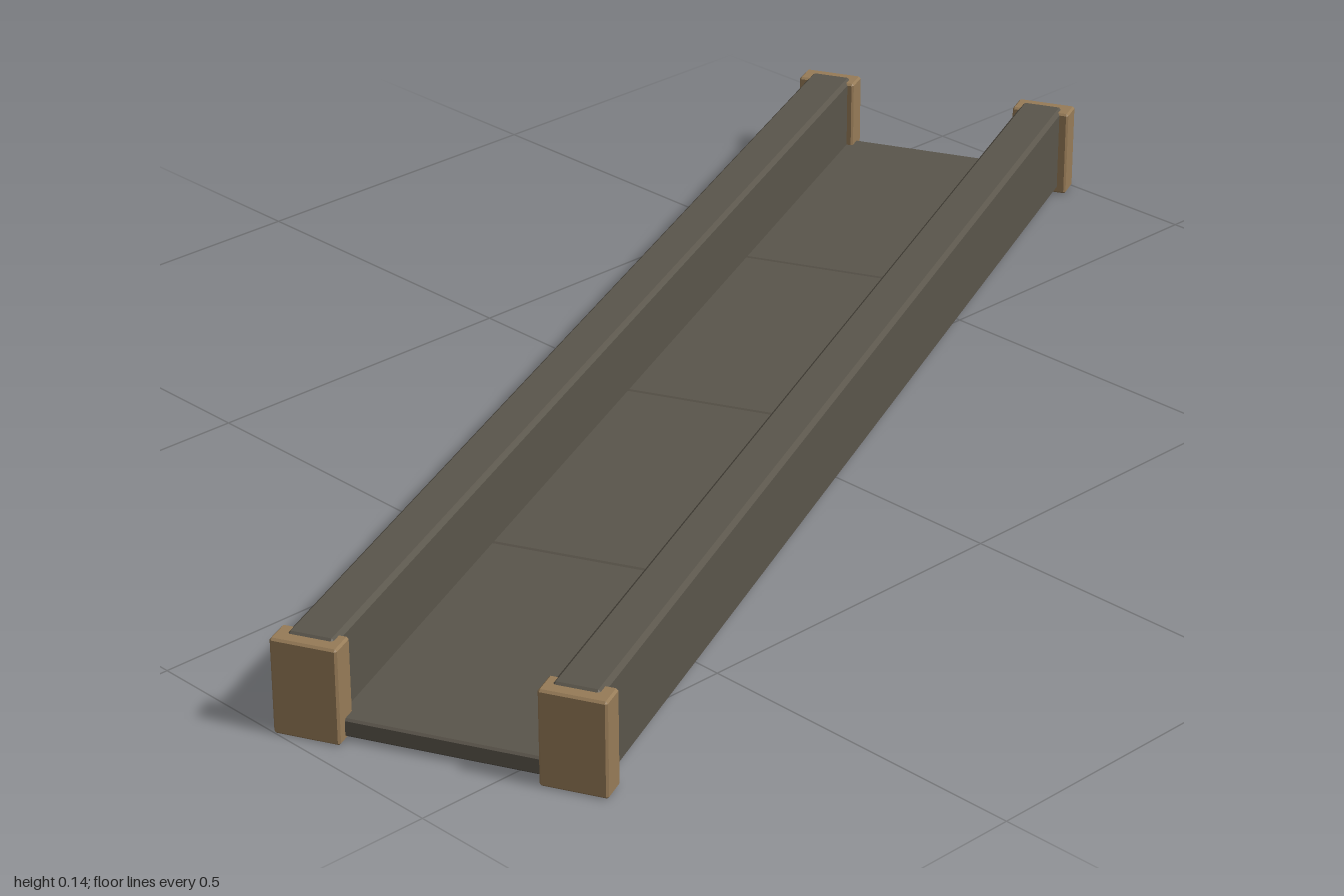
import * as THREE from 'three';
import { ConvexGeometry } from 'three/addons/geometries/ConvexGeometry.js';

// Box with every edge chamfered by b
function chamferBox(w, h, d, b) {
  const points = [];
  for (const sx of [-1, 1]) for (const sy of [-1, 1]) for (const sz of [-1, 1]) {
    for (let axis = 0; axis < 3; axis++) {
      const inset = [b, b, b];
      inset[axis] = 0;
      points.push(new THREE.Vector3(
        sx * (w / 2 - inset[0]), sy * (h / 2 - inset[1]), sz * (d / 2 - inset[2])));
    }
  }
  return new ConvexGeometry(points);
}

export function createModel() {
  const stone = new THREE.MeshStandardMaterial({ color: 0x5a554b });
  stone.name = 'dark stone';
  const wood = new THREE.MeshStandardMaterial({ color: 0x967b57 });
  wood.name = 'tan post';

  const model = new THREE.Group();
  model.name = 'walkway';
  const add = (name, geometry, material, x, y, z) => {
    const mesh = new THREE.Mesh(geometry, material);
    mesh.name = name;
    mesh.position.set(x, y, z);
    model.add(mesh);
  };

  // Floor of four panels with fine chamfered joints
  const panelLength = 0.492;
  const panel = chamferBox(panelLength, 0.026, 0.32, 0.003);
  for (let i = 0; i < 4; i++) {
    add('floorPanel', panel, stone, (i - 1.5) * panelLength, 0.018, 0);
  }

  // Side walls, each ending in a post slightly lower than the wall top
  const wall = chamferBox(1.968, 0.135, 0.068, 0.006);
  const post = chamferBox(0.04, 0.137, 0.092, 0.003);
  for (const side of [-1, 1]) {
    add('sideWall', wall, stone, 0, 0.0725, side * 0.178);
    for (const end of [-1, 1]) {
      add('endPost', post, wood, end * 0.98, 0.0685, side * 0.18);
    }
  }

  // The whole walkway stands at an angle
  model.rotation.y = THREE.MathUtils.degToRad(25);
  const root = new THREE.Group();
  root.add(model);
  return root;
}
